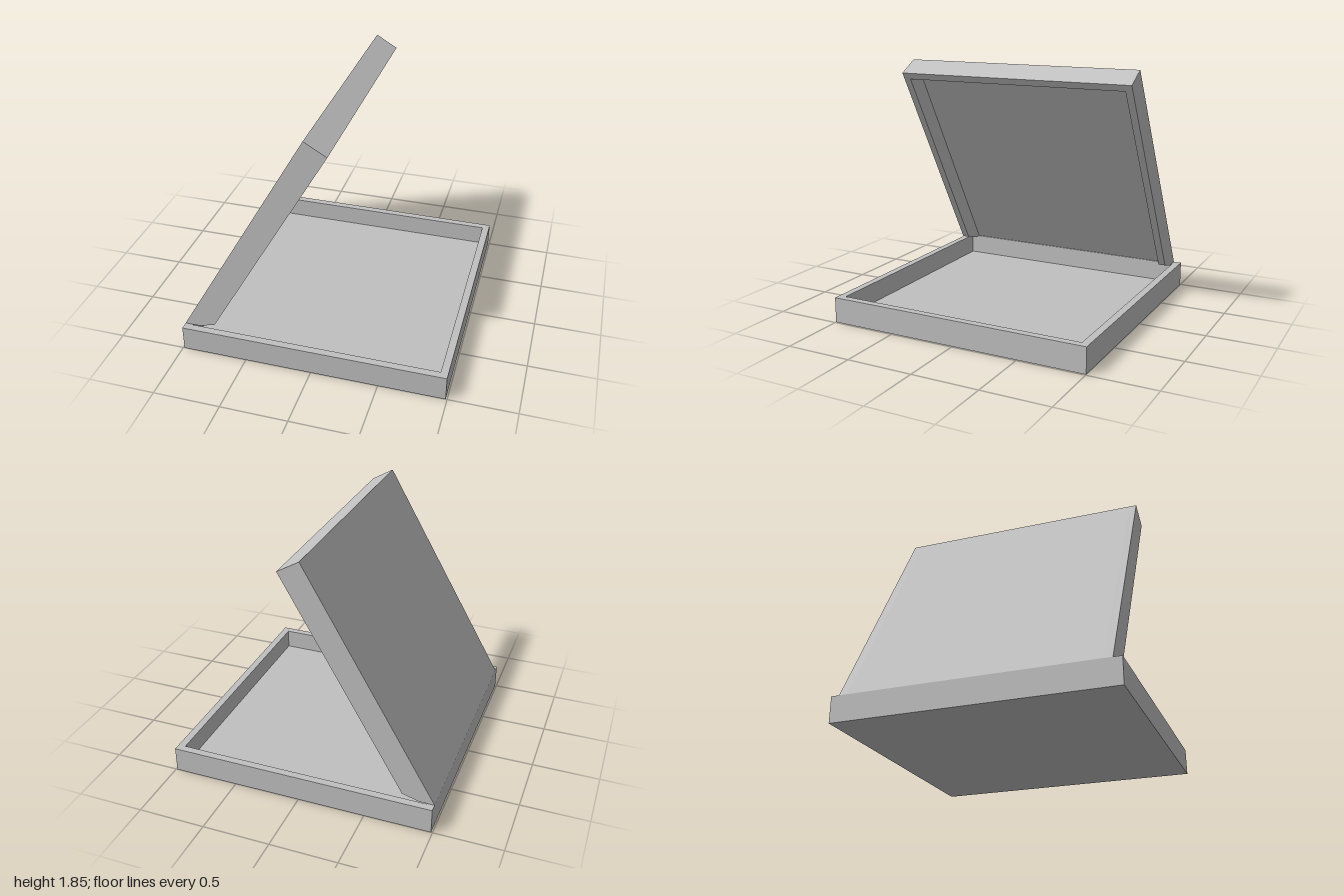
import * as THREE from 'three';

const HINGE_X = -0.99, RIM_Y = 0.19;   // hinge line of the lid
const LID_Z = 0.94, WALL = 0.055;

// Point on the open lid: u along its length, w through its thickness
const TILT = Math.PI / 3;
const lidPoint = (u, w) => [
  HINGE_X + u * Math.cos(TILT) + w * Math.sin(TILT),
  RIM_Y + u * Math.sin(TILT) - w * Math.cos(TILT),
];

const makeShape = (points) => new THREE.Shape(points.map(([x, y]) => new THREE.Vector2(x, y)));

const rectangle = (w, d) => [[-w, -d], [w, -d], [w, d], [-w, d]];

export function createModel() {
  const model = new THREE.Group();
  model.name = 'openBox';
  const grey = new THREE.MeshStandardMaterial({ color: 0xc0c0c0 });
  grey.name = 'grey';

  const add = (parent, name, geometry) => {
    const mesh = new THREE.Mesh(geometry, grey);
    mesh.name = name;
    parent.add(mesh);
    return mesh;
  };
  const extrude = (shape, depth) =>
    new THREE.ExtrudeGeometry(shape, { depth, bevelEnabled: false });

  // Base tray: a rectangular frame around a thin floor
  const base = new THREE.Group();
  base.name = 'base';
  model.add(base);
  const frame = makeShape(rectangle(0.99, 1));
  frame.holes.push(makeShape(rectangle(0.935, 0.945)));
  add(base, 'baseWalls', extrude(frame, RIM_Y).rotateX(-Math.PI / 2).translate(0, 0, 0));
  add(base, 'baseFloor', new THREE.BoxGeometry(1.87, 0.035, 1.89).translate(0, 0.0175, 0));

  // Lid, propped open at 60 degrees
  const lid = new THREE.Group();
  lid.name = 'lid';
  model.add(lid);
  const length = 1.92, thick = 0.185, panel = 0.04;

  // Panel and end wall share one L-shaped section, open at the hinge
  const section = makeShape([
    [HINGE_X, RIM_Y],
    lidPoint(length, 0),
    lidPoint(length, thick),
    lidPoint(length - WALL, thick),
    lidPoint(length - WALL, panel),
    [HINGE_X + panel / Math.sin(TILT), RIM_Y],
  ]);
  const inner = LID_Z - WALL;
  add(lid, 'lidPanel', extrude(section, inner * 2).translate(0, 0, -inner));

  // Side walls, cut away at the hinge corner
  const side = makeShape([
    [HINGE_X, RIM_Y],
    lidPoint(length, 0),
    lidPoint(length, thick),
    [-0.755, 0.225],
    [-0.875, RIM_Y],
  ]);
  for (const [name, z] of [['lidFrontWall', inner], ['lidBackWall', -LID_Z]]) {
    add(lid, name, extrude(side, WALL).translate(0, 0, z));
  }

  return model;
}
